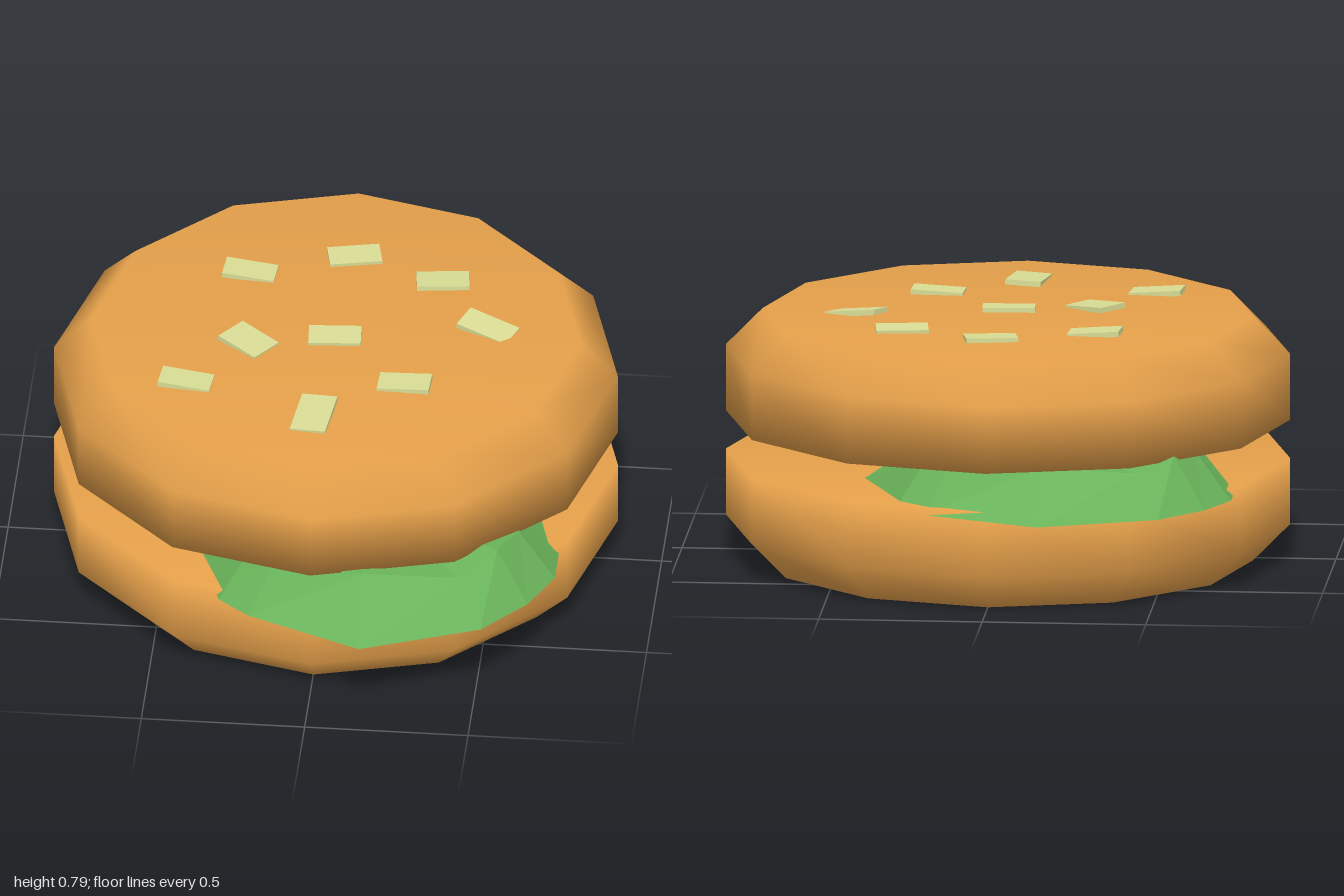
import * as THREE from 'three';

const BUN_Z = -0.037;
const bunMat = new THREE.MeshStandardMaterial({ color: 0xe5a04a });
const seedMat = new THREE.MeshStandardMaterial({ color: 0xd8dc94, flatShading: true });
const leafMat = new THREE.MeshStandardMaterial({ color: 0x6ab45a, flatShading: true });

// Twelve-sided bun half, turned from a closed profile
function bun(name, profile) {
  const geo = new THREE.LatheGeometry(profile.map(([r, y]) => new THREE.Vector2(r, y)), 12);
  const mesh = new THREE.Mesh(geo, bunMat);
  mesh.name = name;
  mesh.position.z = BUN_Z;
  return mesh;
}

// Faceted leaf: flat top, walls sloping out to an uneven rim, flat underside
function leafGeometry() {
  const rim = [[0.0, 0.56], [0.36, 0.42], [0.49, 0.27], [0.56, 0.12], [0.56, -0.01],
    [0.5, -0.24], [0.36, -0.43], [0.0, -0.56], [-0.34, -0.44], [-0.52, -0.24],
    [-0.57, -0.01], [-0.45, 0.33], [-0.35, 0.41]];
  const n = rim.length;
  const shoulder = [0.66, 0.78, 0.8, 0.8, 0.78];
  const pos = [];
  rim.forEach(([x, z], i) => pos.push(x, i === 10 ? 0.32 : 0.297, z));
  rim.forEach(([x, z], i) => {
    const s = shoulder[i % 5];
    pos.push(x * s, i === 1 ? 0.42 : i % 3 ? 0.455 : 0.445, z * s);
  });
  pos.push(0, 0.45, 0, 0, 0.3, 0);
  const top = 2 * n, under = top + 1, idx = [];
  for (let i = 0; i < n; i++) {
    const j = (i + 1) % n;
    idx.push(i, j, n + j, i, n + j, n + i);
    idx.push(n + i, n + j, top, j, i, under);
  }
  const geo = new THREE.BufferGeometry();
  geo.setAttribute('position', new THREE.Float32BufferAttribute(pos, 3));
  geo.setIndex(idx);
  geo.computeVertexNormals();
  return geo;
}

export function createModel() {
  const model = new THREE.Group();
  model.name = 'burger';

  model.add(bun('bottomBun', [[0, 0], [0.75, 0], [0.863, 0.115], [0.863, 0.32], [0, 0.32]]));
  model.add(bun('topBun', [[0, 0.44], [0.863, 0.44], [0.863, 0.645], [0.75, 0.76], [0, 0.76]]));

  // Two leaves poking out at front and back
  const leafGeo = leafGeometry();
  for (const side of [1, -1]) {
    const leaf = new THREE.Mesh(leafGeo, leafMat);
    leaf.name = side > 0 ? 'frontLettuce' : 'backLettuce';
    leaf.position.set(0.165 * side, 0, 0.44 * side);
    leaf.rotation.y = side > 0 ? 0 : Math.PI;
    model.add(leaf);
  }

  // Seeds, half sunk and slightly tilted: x, z, width, depth, turn, tilt x, tilt z
  const seeds = new THREE.Group();
  seeds.name = 'seeds';
  const layout = [
    [0.02, -0.44, 0.16, 0.09, 0.2, 0.04, 0],
    [-0.29, -0.33, 0.16, 0.09, -0.08, 0, -0.08],
    [0.3, -0.33, 0.16, 0.09, 0.12, -0.05, 0],
    [0.0, 0.0, 0.16, 0.09, 0.06, 0.05, 0],
    [-0.26, 0.05, 0.15, 0.11, -0.65, 0, -0.08],
    [-0.43, 0.28, 0.16, 0.09, -0.1, 0, -0.08],
    [0.235, 0.235, 0.16, 0.09, -0.04, 0, 0.05],
    [0.46, -0.09, 0.17, 0.09, -0.4, 0.08, -0.1],
    [-0.025, 0.43, 0.11, 0.18, -0.12, 0.06, 0.05],
  ];
  for (const [x, z, w, d, turn, tx, tz] of layout) {
    const seed = new THREE.Mesh(new THREE.BoxGeometry(w, 0.016, d), seedMat);
    seed.name = 'seed';
    seed.position.set(x, 0.764, z);
    seed.rotation.set(tx, turn, tz);
    seeds.add(seed);
  }
  model.add(seeds);
  return model;
}
